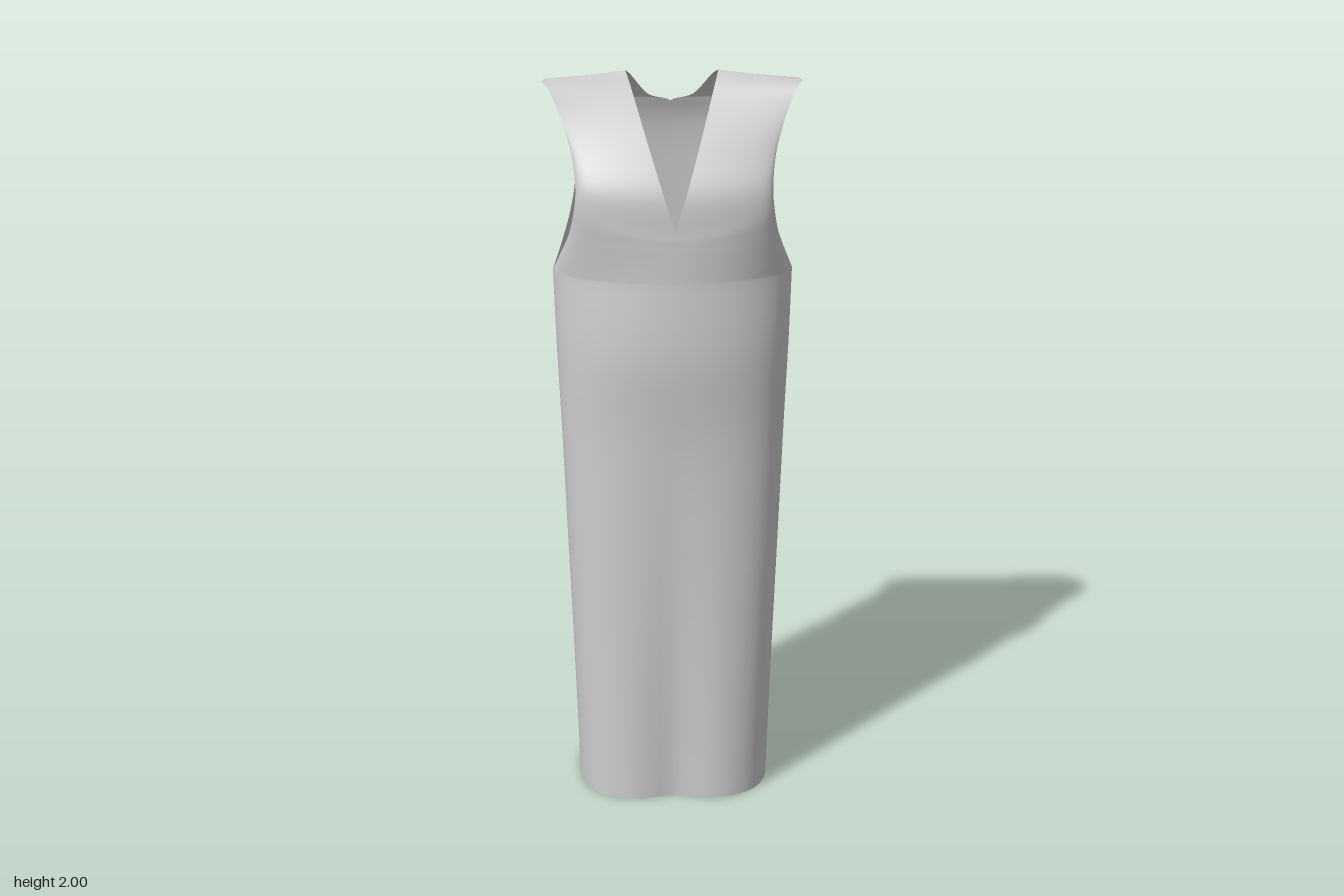
import * as THREE from 'three';
import { mergeGeometries, mergeVertices } from 'three/addons/utils/BufferGeometryUtils.js';

// Skirt and waist rows: y, half width, front z, back z, front roundness, back roundness
const BODY = [
  [0, 0.267, 0.23, -0.224, 0.68, 0.75],
  [0.4, 0.28, 0.215, -0.216, 0.7, 0.76],
  [0.75, 0.293, 0.203, -0.21, 0.74, 0.78],
  [1.05, 0.304, 0.196, -0.205, 0.8, 0.82],
  [1.28, 0.314, 0.205, -0.2, 0.9, 0.88],
  [1.48, 0.32, 0.19, -0.19, 1, 0.96],
];
// Panel rows: inner edge x y z (centre, then neckline), outer edge x y z (armhole), roundness
const FRONT = [
  [0, 1.48, 0.19, 0.32, 1.48, 0, 1],
  [0, 1.53, 0.189, 0.3, 1.53, 0.045, 0.98],
  [0, 1.58, 0.188, 0.274, 1.6, 0.095, 0.95],
  [0, 1.615, 0.186, 0.259, 1.68, 0.125, 0.95],
  [0.03, 1.715, 0.175, 0.257, 1.74, 0.117, 1],
  [0.06, 1.81, 0.122, 0.268, 1.82, 0.085, 1.3],
  [0.09, 1.905, 0.05, 0.298, 1.91, 0.045, 1.7],
  [0.11, 1.968, -0.004, 0.325, 1.965, 0.015, 2],
  [0.122, 2, -0.05, 0.343, 1.975, -0.022, 2],
];
const BACK = [
  [0, 1.48, -0.19, 0.32, 1.48, 0, 0.96],
  [0, 1.54, -0.188, 0.299, 1.53, -0.05, 0.92],
  [0, 1.62, -0.185, 0.271, 1.62, -0.095, 0.9],
  [0, 1.7, -0.182, 0.257, 1.71, -0.122, 0.92],
  [0, 1.78, -0.178, 0.263, 1.8, -0.14, 1],
  [0, 1.85, -0.17, 0.28, 1.86, -0.149, 1.1],
  [0, 1.9, -0.155, 0.298, 1.905, -0.145, 1.2],
  [0.06, 1.92, -0.145, 0.312, 1.945, -0.118, 1.3],
  [0.106, 1.978, -0.102, 0.33, 1.975, -0.07, 1.6],
  [0.122, 2, -0.05, 0.343, 1.975, -0.022, 2],
];
const bodyRows = (front) => BODY.map(([y, w, zf, zb, ef, eb]) =>
  [0, y, front ? zf : zb, w, y, 0, front ? ef : eb]);

// Smooth interpolation between the rows of a table
function rowAt(rows, v) {
  const n = rows.length - 1, i = Math.min(Math.floor(v * n), n - 1), f = v * n - i;
  const [p, a, b, q] = [-1, 0, 1, 2].map((k) => rows[Math.min(n, Math.max(0, i + k))]);
  return a.map((_, k) => 0.5 * (2 * a[k] + (b[k] - p[k]) * f
    + (2 * p[k] - 5 * a[k] + 4 * b[k] - q[k]) * f * f
    + (3 * a[k] - p[k] - 3 * b[k] + q[k]) * f * f * f));
}

// One quarter of the cloth: each row curves from the outer edge round to the inner edge
function panel(rows, side, front) {
  const nu = 24, nv = (rows.length - 1) * 5, pos = [], index = [];
  for (let j = 0; j <= nv; j++) {
    const [ix, iy, iz, ox, oy, oz, e] = rowAt(rows, j / nv);
    const x0 = Math.max(0, ix);
    for (let i = 0; i <= nu; i++) {
      const s = i / nu, t = (Math.PI / 2) * s * s * (3 - 2 * s);
      const c = Math.max(0, Math.cos(t)), d = Math.sin(t);
      const x = x0 + (ox - x0) * c ** e;
      const y = oy + (iy - oy) * d * d;
      let z = oz + (iz - oz) * d ** e;
      // shallow fold down the middle of the skirt front
      if (front) z -= 0.028 * Math.max(0, 1 - y / 1.1) * Math.exp(-((x / 0.08) ** 2));
      pos.push(side * x, y, z);
    }
  }
  const flip = side * (front ? 1 : -1) > 0;
  for (let j = 0; j < nv; j++) {
    for (let i = 0; i < nu; i++) {
      const a = j * (nu + 1) + i, b = a + 1, c = a + nu + 1, d = c + 1;
      if (flip) index.push(a, c, b, b, c, d);
      else index.push(a, b, c, b, d, c);
    }
  }
  const g = new THREE.BufferGeometry();
  g.setAttribute('position', new THREE.Float32BufferAttribute(pos, 3));
  g.setIndex(index);
  return g;
}

export function createModel() {
  const group = new THREE.Group();
  group.name = 'sleevelessDress';
  const parts = [];
  for (const side of [1, -1]) {
    for (const front of [true, false]) {
      parts.push(panel(bodyRows(front), side, front));
      parts.push(panel(front ? FRONT : BACK, side, front));
    }
  }
  // Weld the seams so the cloth shades smoothly
  const cloth = mergeVertices(mergeGeometries(parts), 1e-4);
  cloth.computeVertexNormals();
  const dress = new THREE.Mesh(cloth, new THREE.MeshStandardMaterial({
    color: 0xcccccc, side: THREE.DoubleSide,
  }));
  dress.name = 'dressCloth';
  group.add(dress);
  return group;
}
